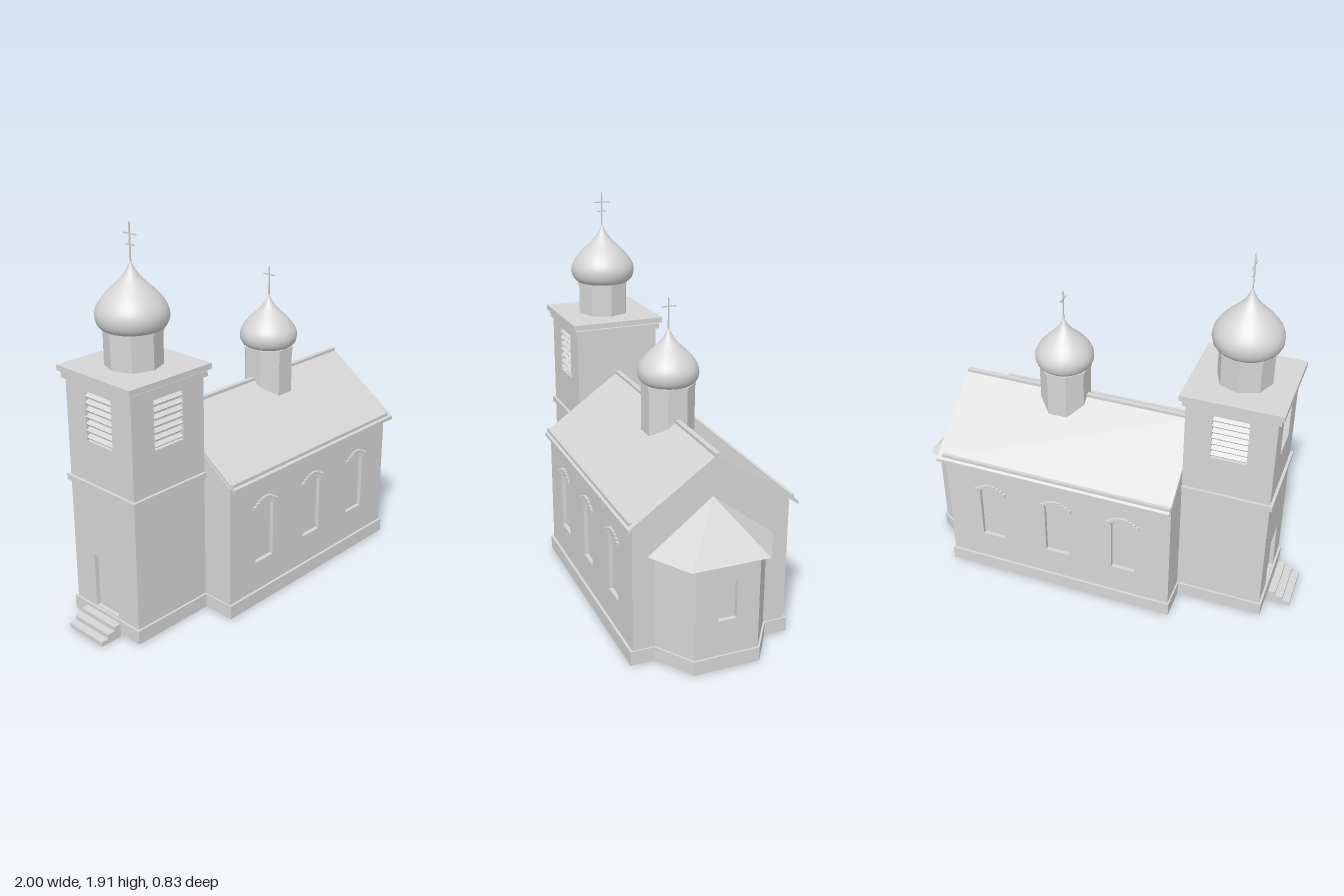
import * as THREE from 'three';

const stone = new THREE.MeshStandardMaterial({ color: 0xd6d6d6, side: THREE.DoubleSide });
stone.name = 'pale stone';

function add(parent, name, geo, x = 0, y = 0, z = 0) {
  const m = new THREE.Mesh(geo, stone);
  m.name = name;
  m.position.set(x, y, z);
  parent.add(m);
  return m;
}

// box given by its minimum and maximum corners
function block(parent, name, x0, x1, y0, y1, z0, z1) {
  return add(parent, name, new THREE.BoxGeometry(x1 - x0, y1 - y0, z1 - z0),
    (x0 + x1) / 2, (y0 + y1) / 2, (z0 + z1) / 2);
}

const toShape = (pts) => new THREE.Shape(pts.map(([x, y]) => new THREE.Vector2(x, y)));
const rect = (x0, x1, y0, y1) => [[x0, y0], [x1, y0], [x1, y1], [x0, y1]];
const T = 0.022; // wall thickness

// Upright wall panel: outer face on local z = 0, openings closed by a recessed pane
function wall(parent, name, pts, openings, x, z, angle) {
  const g = new THREE.Group();
  g.name = name;
  const shape = toShape(pts);
  for (const [x0, x1, y0, y1] of openings) {
    shape.holes.push(new THREE.Path(rect(x0, x1, y0, y1).map(([a, b]) => new THREE.Vector2(a, b))));
    block(g, 'recessedPane', x0 - 0.004, x1 + 0.004, y0 - 0.004, y1 + 0.004, -T - 0.006, -T + 0.001);
  }
  add(g, 'wallPanel', new THREE.ExtrudeGeometry(shape, { depth: T, bevelEnabled: false }), 0, 0, -T);
  g.position.set(x, 0, z);
  g.rotation.y = angle;
  parent.add(g);
  return g;
}

// Horizontal band following a plan outline, hollow inside
function band(parent, name, outer, inner, y0, y1) {
  const shape = toShape(outer);
  shape.holes.push(new THREE.Path(inner.map(([a, b]) => new THREE.Vector2(a, b))));
  const geo = new THREE.ExtrudeGeometry(shape, { depth: y1 - y0, bevelEnabled: false });
  add(parent, name, geo.rotateX(-Math.PI / 2), 0, y0, 0);
}

// Stepped brick arch above a window
function brow(wallGroup, cx) {
  const steps = [[0, 0.562], [0.019, 0.56], [0.037, 0.552], [0.056, 0.541], [0.074, 0.529]];
  for (const side of [-1, 1]) for (const [dx, y] of steps) {
    if (dx === 0 && side < 0) continue;
    const c = cx + side * dx;
    block(wallGroup, 'browBrick', c - 0.011, c + 0.011, y - 0.009, y + 0.009, -0.002, 0.011);
  }
}

// Octagonal drum, onion dome and cross
function cupola(parent, name, { x, base, top, r, turn, s, poleTop, bars }) {
  const g = new THREE.Group();
  g.name = name;
  g.position.x = x;
  const drum = new THREE.CylinderGeometry(r, r, top - base, 8).rotateY(turn).toNonIndexed();
  drum.computeVertexNormals();
  add(g, 'drum', drum, 0, (base + top) / 2, 0);
  const collar = new THREE.CylinderGeometry(r * 1.04, r * 1.04, 0.014, 8).rotateY(turn).toNonIndexed();
  collar.computeVertexNormals();
  add(g, 'drumCollar', collar, 0, top - 0.007, 0);
  const profile = [[0.137, 0], [0.158, 0.02], [0.168, 0.055], [0.164, 0.088], [0.147, 0.122],
    [0.117, 0.16], [0.08, 0.195], [0.045, 0.23], [0.02, 0.265], [0.002, 0.302]];
  const curve = new THREE.SplineCurve(profile.map(([a, b]) => new THREE.Vector2(a * s, b * s)));
  add(g, 'onionDome', new THREE.LatheGeometry(curve.getPoints(24), 24), 0, top, 0);
  add(g, 'domeBase', new THREE.CircleGeometry(0.137 * s, 24).rotateX(Math.PI / 2), 0, top + 0.001, 0);
  const w = 0.003;
  block(g, 'crossPole', -w, w, top + 0.28 * s, poleTop, -w, w);
  for (const [y, half] of bars) block(g, 'crossBar', -w, w, y - w, y + w, -half, half);
  parent.add(g);
}

export function createModel() {
  const church = new THREE.Group();
  church.name = 'church';
  const Q = Math.PI / 2;

  // Nave walls with three windows on each long side
  const nave = new THREE.Group();
  nave.name = 'nave';
  church.add(nave);
  const x0 = -0.42, x1 = 0.795, D = 0.385, mid = (x0 + x1) / 2, half = (x1 - x0) / 2;
  for (const s of [1, -1]) {
    const centres = [-0.175, 0.187, 0.55].map((c) => s * (c - mid));
    const side = wall(nave, s > 0 ? 'frontWall' : 'backWall', rect(-half, half, 0, 0.69),
      centres.map((c) => [c - 0.063, c + 0.063, 0.225, 0.52]), mid, s * D, s > 0 ? 0 : Math.PI);
    centres.forEach((c) => brow(side, c));
  }
  const gable = [[-D, 0], [D, 0], [D, 0.69], [0, 0.965], [-D, 0.69]];
  wall(nave, 'eastGable', gable, [], x1, 0, Q);
  wall(nave, 'westGable', gable, [], x0, 0, -Q);
  band(nave, 'navePlinth', rect(x0 - 0.008, x1 + 0.008, -D - 0.013, D + 0.013),
    rect(x0 + 0.01, x1 - 0.01, -D + 0.01, D - 0.01), 0, 0.07);

  // Pitched roof, ridge cap and eaves strips
  const e = 0.415;
  const roof = new THREE.ExtrudeGeometry(
    toShape([[-e, 0.675], [0, 0.966], [e, 0.675], [e, 0.692], [0, 0.983], [-e, 0.692]]),
    { depth: 0.83 - x0, bevelEnabled: false }).rotateY(Q);
  add(nave, 'naveRoof', roof, x0, 0, 0);
  block(nave, 'ridgeCap', x0, 0.83, 0.972, 0.99, -0.012, 0.012);
  for (const s of [-1, 1]) {
    const c = s * 0.396;
    block(nave, 'eavesStrip', x0, 0.803, 0.69, 0.716, c - 0.008, c + 0.008);
  }

  // Apse: three-sided end with a faceted roof
  const apse = new THREE.Group();
  apse.name = 'apse';
  church.add(apse);
  const ax = 0.97, az = 0.157, bx = 0.79, bz = 0.28;
  wall(apse, 'apseEndWall', rect(-az, az, 0, 0.53), [[-0.045, 0.045, 0.245, 0.43]], ax, 0, Q);
  const len = Math.hypot(ax - bx, bz - az) / 2, tilt = Math.atan2(bz - az, ax - bx);
  for (const s of [1, -1]) {
    wall(apse, 'apseSideWall', rect(-len, len, 0, 0.53), [], (ax + bx) / 2, s * (az + bz) / 2,
      s > 0 ? tilt : Math.PI - tilt);
  }
  const plan = (o) => [[bx, -bz - o], [ax + o, -az - o * 0.5], [ax + o, az + o * 0.5], [bx, bz + o]];
  band(apse, 'apsePlinth', plan(0.01), plan(-0.012).map(([x, z]) => [Math.max(x, bx + 0.005), z]), 0, 0.07);
  const P = [[0.795, 0.772, 0], [0.795, 0.53, 0.312], [1, 0.53, 0.19], [1, 0.53, -0.19], [0.795, 0.53, -0.312]];
  const faces = [0, 1, 2, 0, 2, 3, 0, 3, 4, 1, 4, 3, 1, 3, 2];
  const apseRoof = new THREE.BufferGeometry();
  apseRoof.setAttribute('position', new THREE.Float32BufferAttribute(faces.flatMap((i) => P[i]), 3));
  apseRoof.computeVertexNormals();
  add(apse, 'apseRoof', apseRoof);

  // Bell tower: louvred openings on three sides, door on the west
  const tower = new THREE.Group();
  tower.name = 'bellTower';
  church.add(tower);
  const cx = -0.64, R = 0.22;
  const louvre = [-0.088, 0.088, 0.935, 1.175], door = [-0.08, 0.08, 0.075, 0.35];
  const sides = [['towerFront', 0, [louvre]], ['towerEast', Q, []],
    ['towerBack', Math.PI, [louvre]], ['towerWest', -Q, [louvre, door]]];
  for (const [name, a, holes] of sides) {
    const w = wall(tower, name, rect(-R, R, 0, 1.25), holes, cx + R * Math.sin(a), R * Math.cos(a), a);
    if (holes.length) for (let i = 0; i < 7; i++) {
      const slat = add(w, 'louvreSlat', new THREE.BoxGeometry(0.176, 0.006, 0.024), 0, 0.955 + i * 0.0335, -0.011);
      slat.rotation.x = 0.6;
    }
  }
  const square = (h) => rect(cx - h, cx + h, -h, h);
  band(tower, 'towerPlinth', square(R + 0.011), square(R - 0.01), 0, 0.07);
  band(tower, 'towerBelt', square(R + 0.014), square(R - 0.01), 0.7, 0.728);
  band(tower, 'towerCornice', square(R + 0.014), square(R - 0.01), 1.205, 1.232);
  block(tower, 'towerCap', cx - 0.247, cx + 0.247, 1.24, 1.268, -0.247, 0.247);

  // Entrance steps
  for (let i = 0; i < 3; i++) {
    block(tower, 'entranceStep', -1 + i * 0.039, -0.885, i * 0.023, (i + 1) * 0.023, -0.118, 0.118);
  }

  // Two domed cupolas
  cupola(church, 'towerCupola', { x: cx, base: 1.265, top: 1.44, r: 0.135, turn: 0, s: 1,
    poleTop: 1.912, bars: [[1.86, 0.042], [1.812, 0.026]] });
  cupola(church, 'naveCupola', { x: 0.277, base: 0.88, top: 1.143, r: 0.128, turn: Math.PI / 8, s: 0.875,
    poleTop: 1.552, bars: [[1.51, 0.037]] });

  return church;
}
